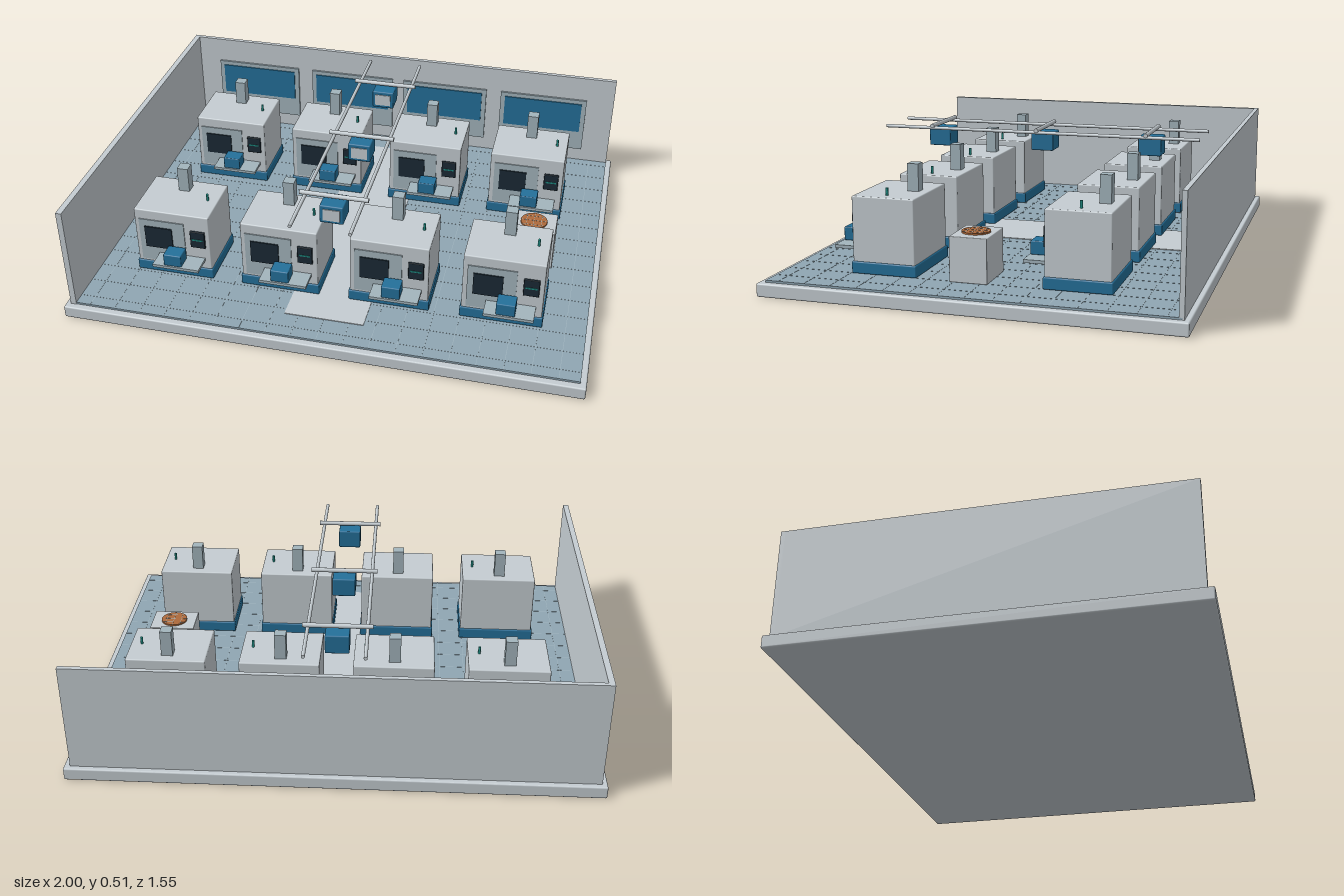
import * as THREE from 'three';
import { RoundedBoxGeometry } from 'three/addons/geometries/RoundedBoxGeometry.js';

const paint = (color) => new THREE.MeshStandardMaterial({ color });
const shell = paint(0xc5cdd2), floorBlue = paint(0x8fa6b3), trim = paint(0xa3b5bd);
const blue = paint(0x24709a), dark = paint(0x1b2a35), teal = paint(0x1f8f86);
const copper = paint(0xad6a3c), seam = paint(0x9fb3bd);

function add(parent, name, geometry, material, x, y, z) {
  const mesh = new THREE.Mesh(geometry, material);
  mesh.name = name;
  mesh.position.set(x, y, z);
  parent.add(mesh);
  return mesh;
}

// Box given by its extents on each axis; r > 0 softens the edges
function box(parent, name, material, [x0, x1], [y0, y1], [z0, z1], r = 0) {
  const size = [x1 - x0, y1 - y0, z1 - z0];
  const geometry = r ? new RoundedBoxGeometry(...size, 2, r) : new THREE.BoxGeometry(...size);
  return add(parent, name, geometry, material, (x0 + x1) / 2, (y0 + y1) / 2, (z0 + z1) / 2);
}

// One processing tool, centred on its footprint, front facing +z
function createMachine() {
  const g = new THREE.Group();
  g.name = 'machine';
  box(g, 'plinth', blue, [-0.158, 0.158], [0.06, 0.105], [-0.126, 0.126], 0.005);
  box(g, 'cabinet', shell, [-0.153, 0.153], [0.1, 0.347], [-0.12, 0.121], 0.005);
  box(g, 'frontPanel', trim, [-0.135, 0.05], [0.115, 0.305], [0.12, 0.125]);
  box(g, 'window', dark, [-0.112, 0], [0.18, 0.275], [0.124, 0.13]);
  box(g, 'screen', dark, [0.075, 0.135], [0.205, 0.28], [0.12, 0.13], 0.003);
  box(g, 'screenReadout', teal, [0.083, 0.127], [0.24, 0.246], [0.129, 0.132]);
  // loading shelf with a wafer carrier on it
  box(g, 'shelf', trim, [-0.06, 0.128], [0.142, 0.154], [0.12, 0.205]);
  box(g, 'waferCarrier', blue, [-0.014, 0.058], [0.154, 0.205], [0.138, 0.201], 0.004);
  // roof fittings
  box(g, 'exhaustDuct', trim, [-0.025, 0.019], [0.345, 0.45], [-0.084, -0.041]);
  add(g, 'beacon', new THREE.CylinderGeometry(0.005, 0.005, 0.03, 12), teal, 0.11, 0.36, 0);
  return g;
}

// Wall window with a glazed upper part
function createWallWindow(x) {
  const g = new THREE.Group();
  g.name = 'wallWindow';
  box(g, 'windowFrame', trim, [-0.192, 0.192], [0.118, 0.368], [-0.742, -0.73]);
  box(g, 'windowGlass', blue, [-0.172, 0.172], [0.21, 0.35], [-0.731, -0.725]);
  g.position.x = x;
  return g;
}

// Overhead track with hanging shuttles
function createOverheadTrack() {
  const g = new THREE.Group();
  g.name = 'overheadTrack';
  for (const x of [-0.112, 0.112]) {
    const rail = add(g, 'rail', new THREE.CylinderGeometry(0.007, 0.007, 1.31, 12), shell, x, 0.492, 0);
    rail.rotation.x = Math.PI / 2;
  }
  for (const z of [-0.445, 0, 0.445]) {
    const bar = add(g, 'crossBar', new THREE.CylinderGeometry(0.009, 0.009, 0.265, 12), shell, 0, 0.502, z);
    bar.rotation.z = Math.PI / 2;
    box(g, 'shuttle', blue, [-0.046, 0.046], [0.408, 0.484], [z - 0.046, z + 0.046], 0.005);
    box(g, 'shuttleFace', shell, [-0.033, 0.033], [0.421, 0.47], [z + 0.044, z + 0.049]);
  }
  return g;
}

// Stand with a diced wafer on top
function createWaferStand() {
  const g = new THREE.Group();
  g.name = 'waferStand';
  box(g, 'pedestal', shell, [-0.091, 0.091], [0.058, 0.225], [-0.071, 0.071], 0.003);
  add(g, 'wafer', new THREE.CylinderGeometry(0.053, 0.053, 0.006, 40), copper, 0, 0.228, 0);
  for (const d of [-0.03, 0, 0.03]) {
    const half = Math.sqrt(0.053 ** 2 - d * d);
    box(g, 'waferLine', trim, [d - 0.0007, d + 0.0007], [0.23, 0.2316], [-half, half]);
    box(g, 'waferLine', trim, [-half, half], [0.23, 0.2316], [d - 0.0007, d + 0.0007]);
  }
  g.position.set(0.72, 0, 0.043);
  return g;
}

export function createModel() {
  const model = new THREE.Group();
  model.name = 'cleanroom';

  // base, floor and walls
  box(model, 'base', shell, [-1, 1], [0, 0.05], [-0.777, 0.777], 0.006);
  box(model, 'floor', floorBlue, [-0.965, 0.977], [0.045, 0.058], [-0.75, 0.75]);
  box(model, 'backWall', shell, [-0.98, 0.977], [0.045, 0.476], [-0.757, -0.739]);
  box(model, 'sideWall', shell, [-0.98, -0.957], [0.045, 0.476], [-0.757, 0.752]);
  box(model, 'aisle', shell, [-0.155, 0.155], [0.055, 0.061], [-0.63, 0.63]);

  // floor tile joints
  for (let i = -9; i <= 9; i++)
    box(model, 'tileJoint', seam, [i * 0.1 - 0.001, i * 0.1 + 0.001], [0.055, 0.0587], [-0.739, 0.75]);
  for (let i = -7; i <= 7; i++)
    box(model, 'tileJoint', seam, [-0.957, 0.977], [0.055, 0.0587], [i * 0.1 - 0.001, i * 0.1 + 0.001]);

  // two rows of four machines
  for (const z of [-0.357, 0.366])
    for (let i = 0; i < 4; i++) {
      const machine = createMachine();
      machine.position.set(-0.645 + i * 0.433, 0, z);
      model.add(machine);
    }

  for (const x of [-0.667, -0.217, 0.217, 0.667]) model.add(createWallWindow(x));
  model.add(createOverheadTrack(), createWaferStand());
  return model;
}
